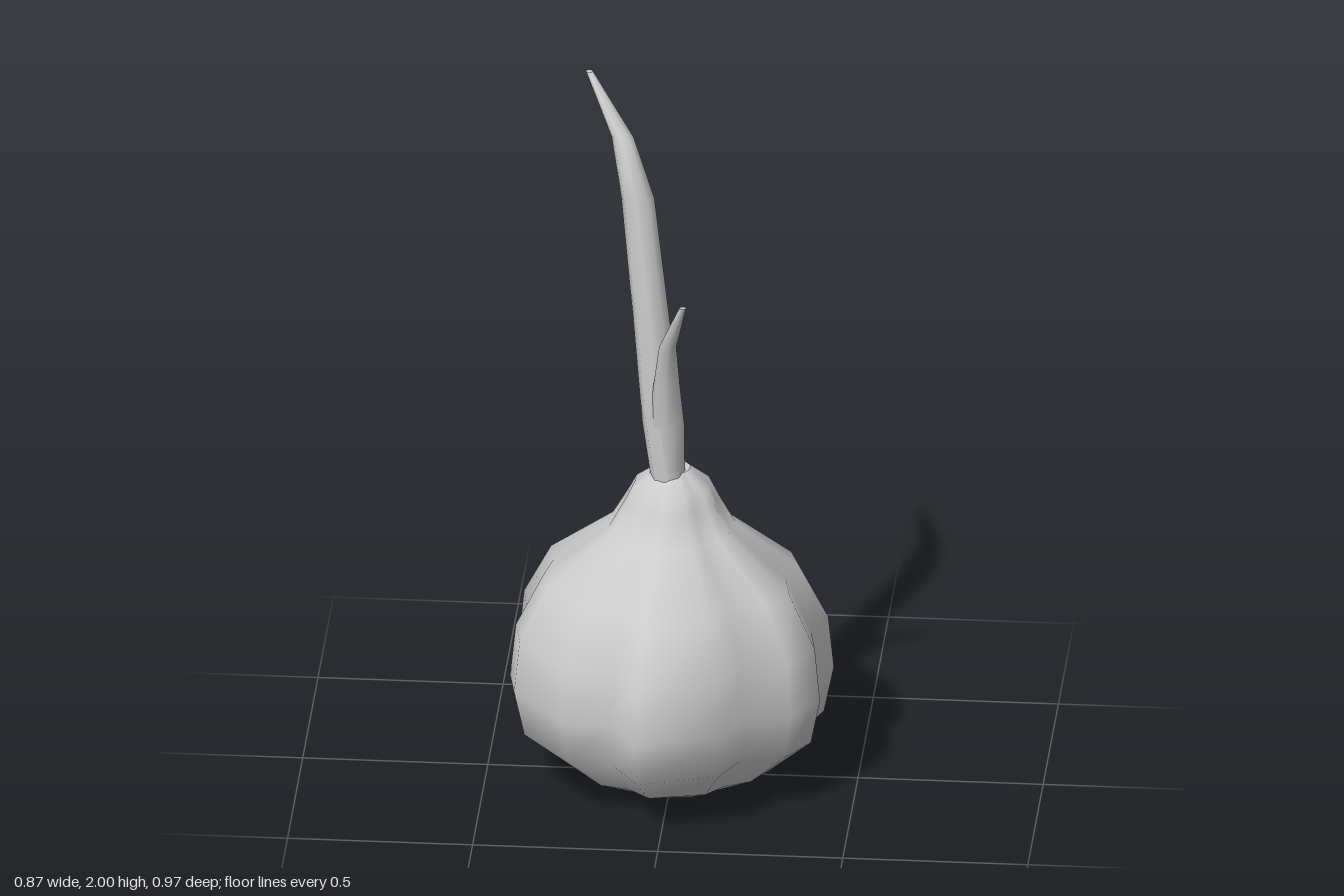
import * as THREE from 'three';

const material = new THREE.MeshStandardMaterial({ color: 0xcccccc });

// Skins a stack of equal-length rings (bottom to top) and caps both ends.
function loft(rings) {
  const n = rings[0].length, last = rings.length - 1;
  const pos = rings.flat(2), index = [];
  for (let i = 0; i < last; i++) {
    for (let j = 0; j < n; j++) {
      const a = i * n + j, b = i * n + (j + 1) % n;
      index.push(a, a + n, b, b, a + n, b + n);
    }
  }
  for (const [ring, top] of [[rings[0], false], [rings[last], true]]) {
    const start = pos.length / 3;
    const centre = [0, 1, 2].map(k => ring.reduce((s, p) => s + p[k], 0) / n);
    pos.push(...ring.flat(), ...centre);
    for (let j = 0; j < n; j++) {
      const a = start + j, b = start + (j + 1) % n;
      index.push(start + n, top ? b : a, top ? a : b);
    }
  }
  const geo = new THREE.BufferGeometry();
  geo.setAttribute('position', new THREE.Float32BufferAttribute(pos, 3));
  geo.setIndex(index);
  geo.computeVertexNormals();
  return geo;
}

function part(name, rings) {
  const mesh = new THREE.Mesh(loft(rings), material);
  mesh.name = name;
  return mesh;
}

// Lobed outline of the bulb at its widest, as x, z
const outline = [
  [0.04, -0.485], [0.12, -0.36], [0.245, -0.357], [0.39, -0.18], [0.43, -0.06],
  [0.39, 0.04], [0.41, 0.155], [0.34, 0.26], [0.215, 0.285], [0.165, 0.40],
  [-0.065, 0.48], [-0.14, 0.35], [-0.27, 0.353], [-0.415, 0.17], [-0.435, 0.06],
  [-0.413, -0.05], [-0.43, -0.16], [-0.36, -0.265], [-0.24, -0.29], [-0.19, -0.405],
];

// Bulb profile: height, scale of the outline, strength of the lobes
const profile = [
  [0, 0.39, 0.2], [0.06, 0.66, 0.5], [0.17, 0.94, 0.9], [0.30, 1, 1], [0.45, 0.965, 1],
  [0.60, 0.79, 1], [0.74, 0.39, 0.9], [0.82, 0.29, 0.8], [0.865, 0.24, 0.6], [0.91, 0.11, 0.2],
];

function bulbRing([y, scale, lobes]) {
  return outline.map(([x, z]) => {
    const r = Math.hypot(x, z);
    const k = scale * THREE.MathUtils.lerp(0.43 / r, 1, lobes);
    return [x * k, y, z * k];
  });
}

// Round ring of a shoot: centre and radius
function shootRing([x, y, z, r]) {
  return Array.from({ length: 8 }, (_, j) => {
    const a = j / 8 * Math.PI * 2;
    return [x + r * Math.cos(a), y, z + r * Math.sin(a)];
  });
}

export function createModel() {
  const group = new THREE.Group();
  group.name = 'sproutingBulb';
  group.add(part('bulb', profile.map(bulbRing)));

  // Tall shoot, bending over to the back right
  group.add(part('tallShoot', [
    [-0.01, 0.88, 0.02, 0.047], [-0.03, 1.05, 0.015, 0.052], [-0.055, 1.3, -0.012, 0.05],
    [-0.098, 1.69, -0.04, 0.045], [-0.143, 1.85, -0.083, 0.03], [-0.24, 2, -0.172, 0.01],
  ].map(shootRing)));

  // Short shoot, forking off to the front
  group.add(part('shortShoot', [
    [-0.01, 0.9, 0.02, 0.044], [-0.014, 1.05, 0.026, 0.047], [-0.012, 1.18, 0.06, 0.036],
    [-0.005, 1.32, 0.108, 0.023], [0.042, 1.475, 0.187, 0.009],
  ].map(shootRing)));

  return group;
}
